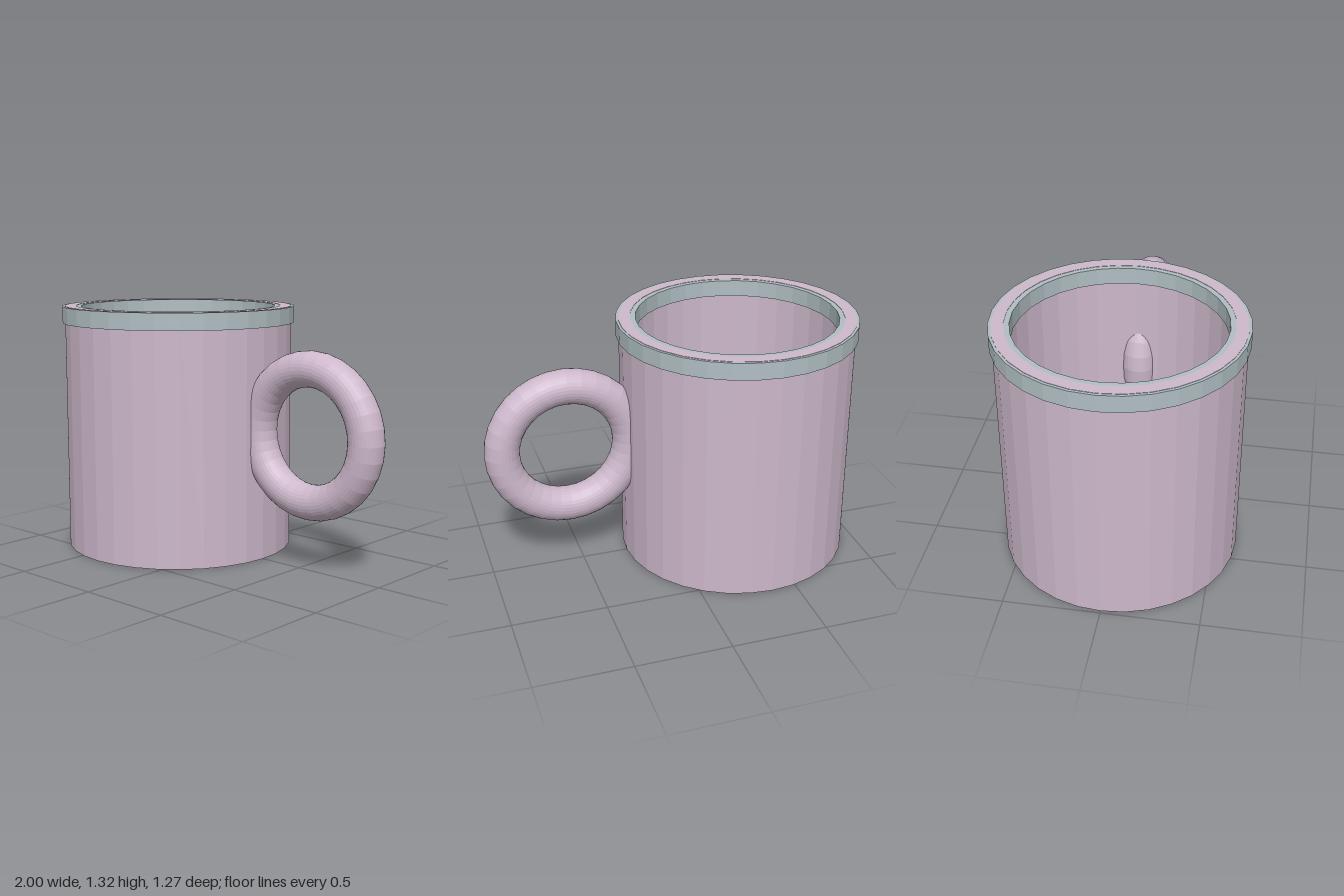
import * as THREE from 'three';

const SIDES = 32;
const BODY_X = -0.366;

const mauve = new THREE.MeshStandardMaterial({ color: 0xcdb8cb });
mauve.name = 'mauve';
const greyTeal = new THREE.MeshStandardMaterial({ color: 0xb0bec2 });
greyTeal.name = 'greyTeal';

// Mesh with faceted normals
function facetedMesh(name, geometry, material) {
  const flat = geometry.toNonIndexed();
  flat.computeVertexNormals();
  const mesh = new THREE.Mesh(flat, material);
  mesh.name = name;
  return mesh;
}

function lathe(profile) {
  return new THREE.LatheGeometry(profile.map(([r, y]) => new THREE.Vector2(r, y)), SIDES);
}

export function createModel() {
  const model = new THREE.Group();
  model.name = 'mug';

  // Hollow cup: underside, outer wall, lip, inner wall and thin floor
  const body = facetedMesh('body', lathe([
    [0, 0], [0.62, 0], [0.62, 1.321], [0.558, 1.321], [0.558, 0.004], [0, 0.004],
  ]), mauve);
  body.position.x = BODY_X;

  // Band around the lip, overhanging both inside and outside
  const rim = facetedMesh('rim', lathe([
    [0.53, 1.23], [0.634, 1.23], [0.634, 1.319], [0.53, 1.319], [0.53, 1.23],
  ]), greyTeal);
  rim.position.x = BODY_X;

  // Ring handle, its near side sunk through the wall
  const handle = facetedMesh('handle', new THREE.TorusGeometry(0.341, 0.092, SIDES, SIDES), mauve);
  handle.position.set(0.567, 0.7, 0);

  model.add(body, rim, handle);
  return model;
}
